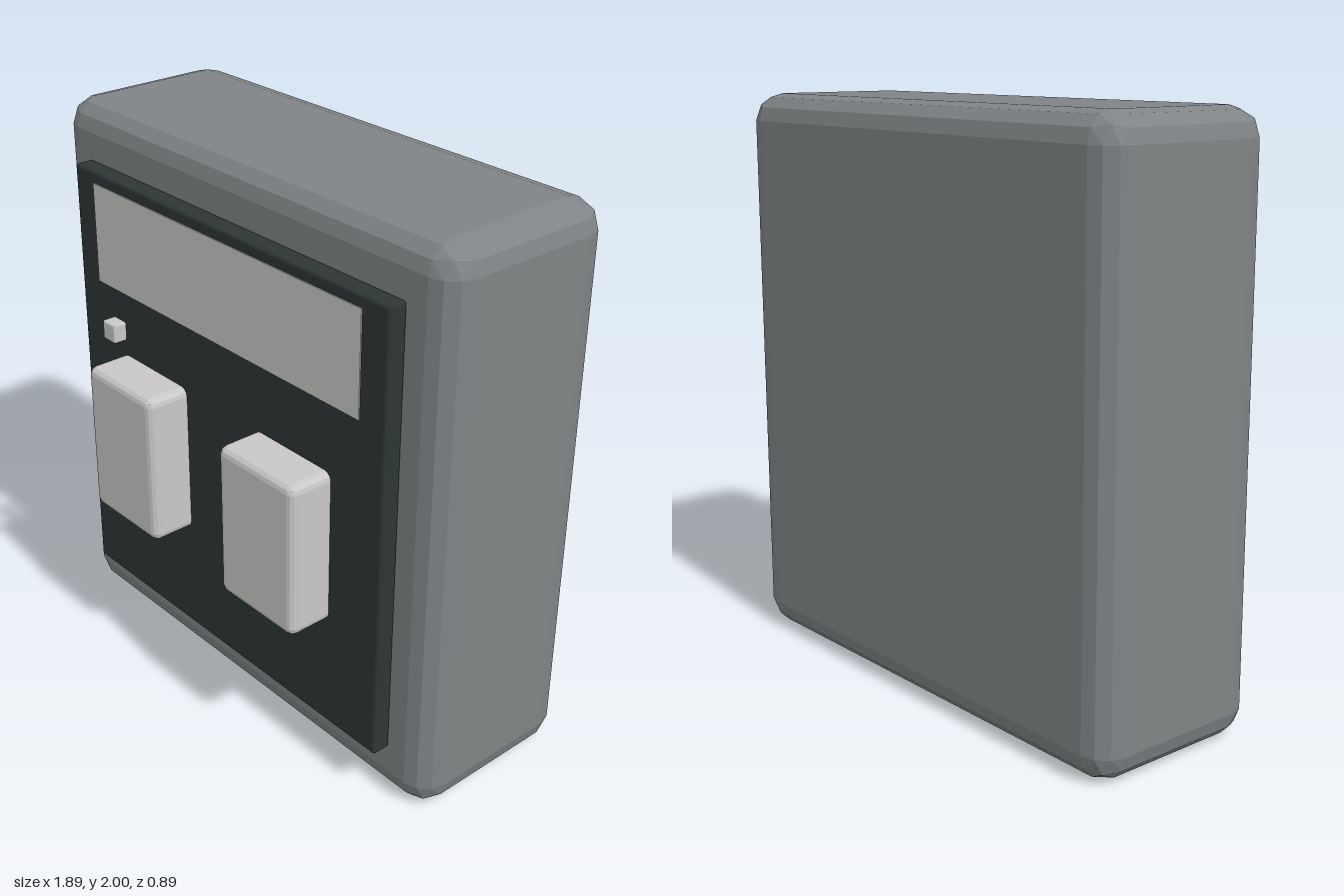
import * as THREE from 'three';
import { ConvexGeometry } from 'three/addons/geometries/ConvexGeometry.js';

// Box with faceted rounded edges: three strips per edge, hull of eight corner octants
function bevelBox([x0, x1], [y0, y1], [z0, z1], r) {
  const points = [];
  const s = (i) => Math.sin((i * Math.PI) / 6);
  for (const sx of [-1, 1]) for (const sy of [-1, 1]) for (const sz of [-1, 1]) {
    const centre = new THREE.Vector3(
      sx < 0 ? x0 + r : x1 - r, sy < 0 ? y0 + r : y1 - r, sz < 0 ? z0 + r : z1 - r);
    for (let i = 0; i <= 3; i++) for (let j = 0; j <= 3 - i; j++) {
      const d = new THREE.Vector3(sx * s(i), sy * s(j), sz * s(3 - i - j));
      points.push(d.normalize().multiplyScalar(r).add(centre));
    }
  }
  return new ConvexGeometry(points);
}

function material(name, color) {
  const m = new THREE.MeshStandardMaterial({ color });
  m.name = name;
  return m;
}

export function createModel() {
  const group = new THREE.Group();
  group.name = 'wallBox';
  const grey = material('casing grey', 0x808486);
  const dark = material('panel dark', 0x2d3636);
  const light = material('light grey', 0xc9c8c6);

  const add = (name, geometry, mat) => {
    const mesh = new THREE.Mesh(geometry, mat);
    mesh.name = name;
    group.add(mesh);
    return mesh;
  };

  // Casing and raised front panel
  add('casing', bevelBox([-0.945, 0.945], [0, 2], [-0.445, 0.22], 0.095), grey);
  add('frontPanel', bevelBox([-0.778, 0.776], [0.2, 1.81], [0.218, 0.288], 0.012), dark);

  // Display plate
  const display = add('display', new THREE.BoxGeometry(1.335, 0.36, 0.008), light);
  display.position.set(-0.002, 1.588, 0.288);

  // Two large buttons
  for (const side of [-1, 1]) {
    const x = side * 0.363;
    add(side < 0 ? 'rightButton' : 'leftButton',
      bevelBox([x - 0.182, x + 0.182], [0.615, 1.171], [0.24, 0.445], 0.028), light);
  }

  // Small indicator standing off the panel
  add('indicator', bevelBox([-0.511, -0.444], [1.275, 1.343], [0.339, 0.392], 0.006), light);

  return group;
}
